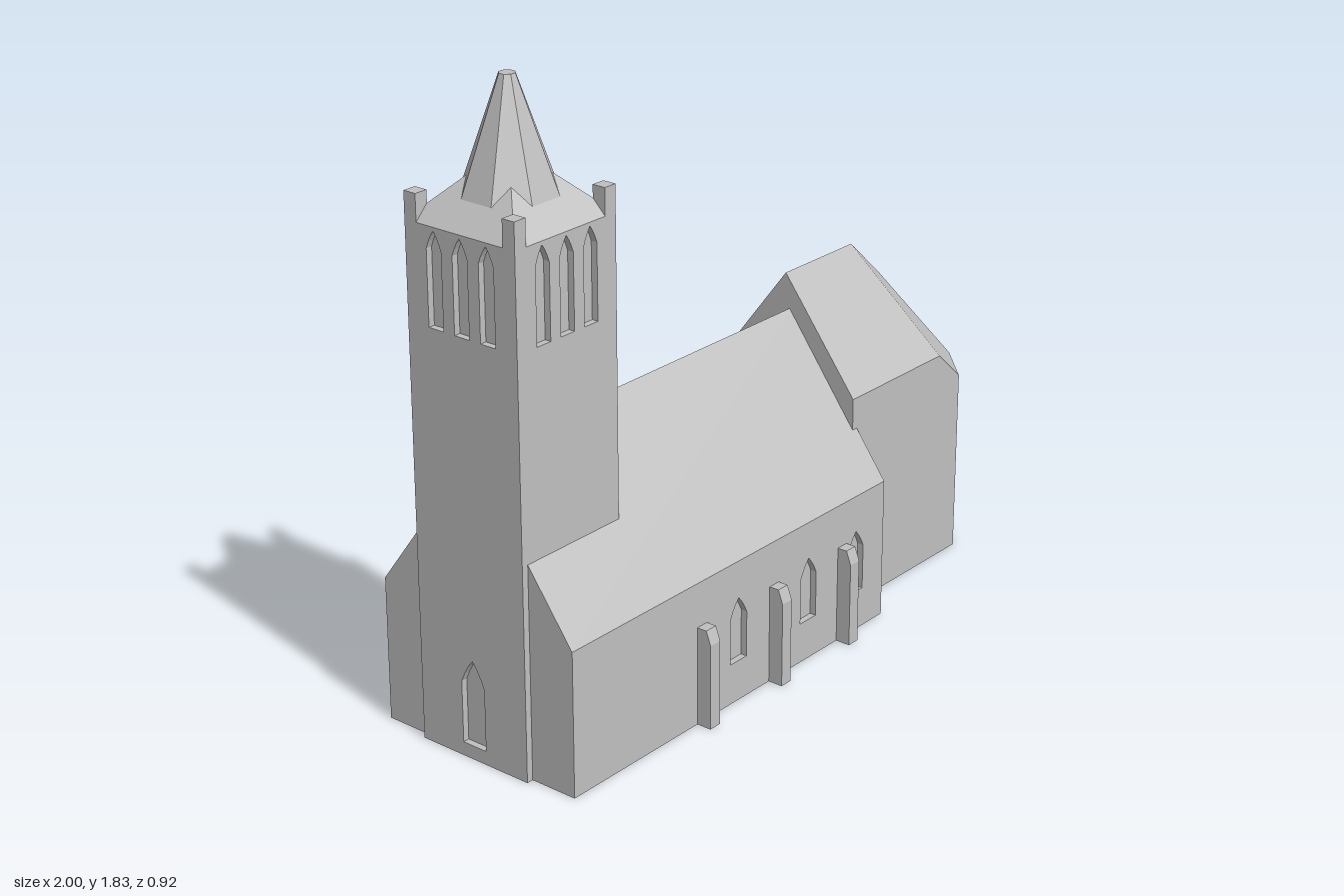
import * as THREE from 'three';
import { ConvexGeometry } from 'three/addons/geometries/ConvexGeometry.js';

const RECESS = 0.02;

export function createModel() {
  const church = new THREE.Group();
  church.name = 'church';
  const stone = new THREE.MeshStandardMaterial({ color: 0xc0c0c0, side: THREE.DoubleSide });
  stone.name = 'grey stone';

  const add = (name, geometry, parent = church) => {
    const mesh = new THREE.Mesh(geometry, stone);
    mesh.name = name;
    parent.add(mesh);
    return mesh;
  };
  const box = (name, w, h, d, x, y, z) => add(name, new THREE.BoxGeometry(w, h, d).translate(x, y + h / 2, z));
  const faceted = (geometry) => {
    const g = geometry.toNonIndexed();
    g.computeVertexNormals();
    return g;
  };
  const hull = (name, points) => add(name, new ConvexGeometry(points.map((p) => new THREE.Vector3(...p))));
  const polygon = (points) => new THREE.Shape(points.map((p) => new THREE.Vector2(...p)));

  // Pointed opening: u = centre along the wall, w = width
  const lancet = ({ u, w, bottom, spring, top }) => {
    const s = new THREE.Shape();
    s.moveTo(u - w / 2, bottom);
    s.lineTo(u + w / 2, bottom);
    s.lineTo(u + w / 2, spring);
    s.quadraticCurveTo(u + w * 0.3, spring + (top - spring) * 0.6, u, top);
    s.quadraticCurveTo(u - w * 0.3, spring + (top - spring) * 0.6, u - w / 2, spring);
    s.closePath();
    return s;
  };

  // Wall from a to b (x, z), outside on the right-hand side, with recessed openings
  const wall = (name, a, b, top, openings = []) => {
    const dx = b[0] - a[0], dz = b[1] - a[1];
    const length = Math.hypot(dx, dz);
    const upper = Array.isArray(top) ? top : [[length, top], [0, top]];
    const shape = polygon([[0, 0], [length, 0], ...upper]);
    shape.holes = openings.map(lancet);
    const group = new THREE.Group();
    group.name = name;
    group.position.set(a[0], 0, a[1]);
    group.rotation.y = Math.atan2(-dz, dx);
    add(name + 'Panel', new THREE.ExtrudeGeometry(shape, { depth: RECESS, bevelEnabled: false, curveSegments: 3 })
      .translate(0, 0, -RECESS), group);
    for (const o of openings) {
      add('windowBack', new THREE.ShapeGeometry(lancet(o), 3).translate(0, 0, -RECESS + 0.001), group);
    }
    church.add(group);
  };

  // Tower
  const tx = -0.815, tz = 0.08, th = 0.185, towerTop = 1.46;
  const corners = [[tx - th, tz + th], [tx + th, tz + th], [tx + th, tz - th], [tx - th, tz - th]];
  const belfry = [-0.088, 0, 0.088].map((d) => ({ u: th + d, w: 0.05, bottom: 1.19, spring: 1.40, top: 1.45 }));
  const door = { u: th, w: 0.08, bottom: 0.04, spring: 0.22, top: 0.29 };
  corners.forEach((c, i) => {
    wall('towerWall', c, corners[(i + 1) % 4], towerTop, i === 3 ? [...belfry, door] : belfry);
    box('pinnacle', 0.04, 0.075, 0.04, tx + Math.sign(c[0] - tx) * 0.165, towerTop, tz + Math.sign(c[1] - tz) * 0.165);
  });
  box('towerCore', 0.33, towerTop, 0.33, tx, 0, tz);
  add('towerRoof', faceted(new THREE.ConeGeometry(th * Math.SQRT2, th, 4).rotateY(Math.PI / 4))
    .translate(tx, towerTop + th / 2, tz));
  add('spire', faceted(new THREE.CylinderGeometry(0.022, 0.14, 0.33, 8).rotateY(Math.PI / 8))
    .translate(tx, 1.665, tz));

  // Nave: gabled core with side walls
  const nx0 = -0.98, nx1 = 0.35, half = 0.33, eave = 0.42, inner = half - RECESS;
  const gable = polygon([[-inner, 0], [inner, 0], [inner, eave - 0.02], [half, eave], [0, 0.87],
    [-half, eave], [-inner, eave - 0.02]]);
  add('naveBody', new THREE.ExtrudeGeometry(gable, { depth: nx1 - nx0, bevelEnabled: false })
    .rotateY(Math.PI / 2).translate(nx0, 0, tz));
  const naveWindow = (u) => ({ u, w: 0.07, bottom: 0.12, spring: 0.255, top: 0.31 });
  wall('naveFrontWall', [nx0, tz + half], [nx1, tz + half], eave, [-0.31, 0, 0.22].map((x) => naveWindow(x - nx0)));
  wall('naveBackWall', [nx1, tz - half], [nx0, tz - half], eave, [-0.31, 0].map((x) => naveWindow(nx1 - x)));

  // Buttresses on both long sides
  const buttress = polygon([[-0.01, 0], [0.045, 0], [0.045, 0.25], [0.03, 0.29], [-0.01, 0.29]]);
  for (const x of [-0.465, -0.155, 0.155]) {
    for (const side of [1, -1]) {
      const mesh = add('buttress', new THREE.ExtrudeGeometry(buttress, { depth: 0.04, bevelEnabled: false })
        .translate(0, 0, -0.02));
      mesh.rotation.y = -side * Math.PI / 2;
      mesh.position.set(x, 0, tz + side * half);
    }
  }

  // Chancel with a three-sided apse
  const plan = [[0.33, 0.31], [0.86, 0.31], [0.99, 0.185], [1, 0.01], [0.86, -0.18], [0.33, -0.18]];
  const low = 0.555, high = 0.65;
  const tops = [
    [[0.53, low], [0.425, high], [0, high]], low, low, low,
    [[0.53, high], [0.09, high], [0, low]], high,
  ];
  plan.forEach((a, i) => {
    const b = plan[(i + 1) % plan.length];
    const u = Math.hypot(b[0] - a[0], b[1] - a[1]) / 2;
    const isApse = i >= 1 && i <= 3;
    wall(isApse ? 'apseWall' : 'chancelWall', a, b, tops[i],
      isApse ? [{ u, w: 0.062, bottom: 0.16, spring: 0.37, top: 0.43 }] : []);
  });
  add('chancelFloor', new THREE.ShapeGeometry(polygon(plan)).rotateX(Math.PI / 2));
  hull('chancelRoof', [
    [0.33, 0.975, 0.065], [0.64, 0.975, 0.065], [0.765, 0.855, 0.075],
    [0.33, high, 0.31], [0.755, high, 0.31], [0.86, low, 0.31], [0.99, low, 0.185],
    [1, low, 0.01], [0.86, low, -0.18], [0.77, high, -0.18], [0.33, high, -0.18],
  ]);

  // Vestry behind the nave
  const vestry = [[0.34, 0.445, -0.32]];
  for (const [w, y, z] of [[0.12, 0.34, -0.25], [0.12, 0.375, -0.265], [0.12, 0.285, -0.39], [0.065, 0.28, -0.46]]) {
    for (const s of [-1, 1]) vestry.push([0.34 + s * w, y, z], [0.34 + s * w, 0, z]);
  }
  hull('vestry', vestry);

  return church;
}
